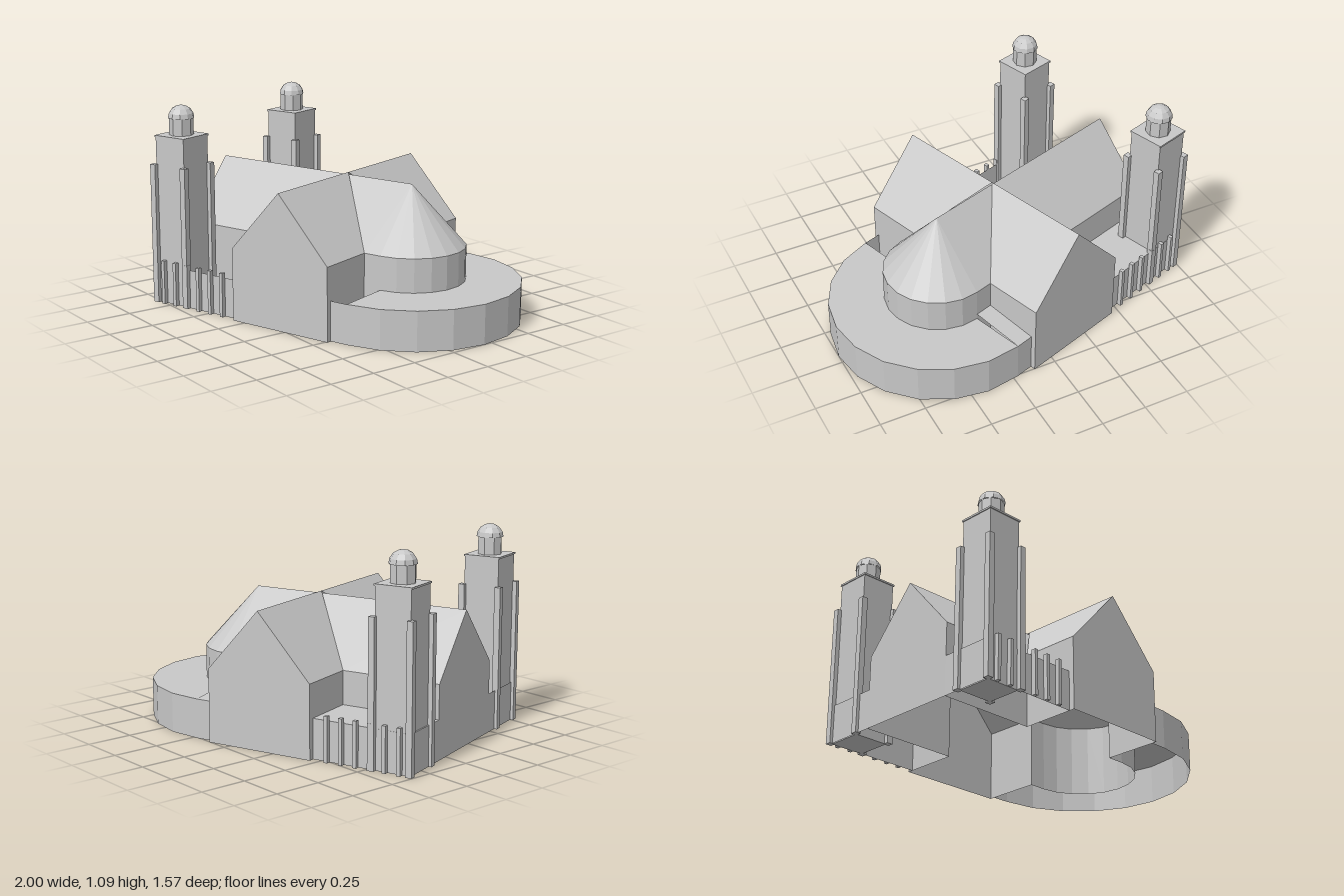
import * as THREE from 'three';

const stone = new THREE.MeshStandardMaterial({ color: 0xc8c8c8, side: THREE.DoubleSide, flatShading: true });
stone.name = 'pale stone';

// Plan measurements in the church's own frame: x runs along the nave, z across it
const WEST = -0.86, NAVE = 0.292, CROSS = 0.307, END = 0.618;
const EAVE = 0.395, RIDGE = 0.72, CROSS_RIDGE = 0.732;
const APSE_X = 0.406, RING = 0.59, RING_H = 0.213;
const AISLE = 0.588, AISLE_H = 0.213, SEG = 10;

function add(parent, name, geometry, x = 0, y = 0, z = 0) {
  const mesh = new THREE.Mesh(geometry, stone);
  mesh.name = name;
  mesh.position.set(x, y, z);
  parent.add(mesh);
  return mesh;
}

// Convex polygons, each turned to face away from the given inner point
function sheets(parent, name, polygons, inner) {
  const centre = new THREE.Vector3(...inner), pos = [];
  for (const polygon of polygons) {
    const p = polygon.map(c => new THREE.Vector3(...c));
    const normal = p[1].clone().sub(p[0]).cross(p[2].clone().sub(p[0]));
    if (normal.dot(p[0].clone().sub(centre)) < 0) p.reverse();
    for (let i = 1; i < p.length - 1; i++) {
      for (const v of [p[0], p[i], p[i + 1]]) pos.push(v.x, v.y, v.z);
    }
  }
  const g = new THREE.BufferGeometry();
  g.setAttribute('position', new THREE.Float32BufferAttribute(pos, 3));
  g.computeVertexNormals();
  return add(parent, name, g);
}

// Upright wall between two plan points
const wall = ([x0, z0], [x1, z1], h) => [[x0, 0, z0], [x1, 0, z1], [x1, h, z1], [x0, h, z0]];

// Half-round plan, from the -z side round to the +z side
function arc(radius) {
  return Array.from({ length: SEG + 1 }, (_, i) => {
    const t = -Math.PI / 2 + Math.PI * i / SEG;
    return [APSE_X + radius * Math.cos(t), radius * Math.sin(t)];
  });
}

function tower(parent, name, z) {
  const g = new THREE.Group();
  g.name = name;
  g.position.set(-0.755, 0, z);
  parent.add(g);
  add(g, 'towerShaft', new THREE.BoxGeometry(0.196, 0.92, 0.196), 0, 0.46, 0);
  add(g, 'towerCap', new THREE.BoxGeometry(0.206, 0.01, 0.206), 0, 0.925, 0);
  for (const sx of [-1, 1]) for (const sz of [-1, 1]) {
    add(g, 'cornerPier', new THREE.BoxGeometry(0.034, 0.772, 0.034), sx * 0.105, 0.386, sz * 0.105);
  }
  add(g, 'lantern', new THREE.CylinderGeometry(0.066, 0.066, 0.1, 8), 0, 0.975, 0);
  const dome = [[0.072, 0], [0.067, 0.025], [0.05, 0.05], [0.026, 0.064], [0, 0.07]];
  add(g, 'dome', new THREE.LatheGeometry(dome.map(p => new THREE.Vector2(...p)), 10), 0, 1.022, 0);
}

export function createModel() {
  const model = new THREE.Group();
  model.name = 'church';
  const church = new THREE.Group();
  church.name = 'building';
  church.rotation.y = 0.32;
  church.position.set(0.025, 0, -0.07);
  model.add(church);

  const gable = (name, pts, inner) => sheets(church, name, [pts], inner);
  const core = [0, 0.2, 0];

  // West front
  gable('westGable', [[WEST, 0, -NAVE], [WEST, 0, NAVE], [WEST, EAVE, NAVE], [WEST, RIDGE, 0], [WEST, EAVE, -NAVE]], core);

  for (const s of [-1, 1]) {
    // Nave side
    sheets(church, 'naveWall', [wall([WEST, s * NAVE], [-CROSS, s * NAVE], EAVE)], core);
    sheets(church, 'naveRoof', [[[WEST, EAVE, s * NAVE], [-CROSS, EAVE, s * NAVE], [0, RIDGE, 0], [WEST, RIDGE, 0]]], core);

    // Transept arm
    gable('transeptGable', [[-CROSS, 0, s * END], [CROSS, 0, s * END], [CROSS, EAVE, s * END],
      [0, CROSS_RIDGE, s * END], [-CROSS, EAVE, s * END]], core);
    for (const e of [-1, 1]) {
      sheets(church, 'transeptWall', [wall([e * CROSS, s * NAVE], [e * CROSS, s * END], EAVE)], core);
      sheets(church, 'transeptRoof', [[[e * CROSS, EAVE, s * NAVE], [e * CROSS, EAVE, s * END],
        [0, CROSS_RIDGE, s * END], [0, CROSS_RIDGE, 0]]], core);
    }

    // Straight bay before the apse
    sheets(church, 'choirWall', [wall([CROSS, s * NAVE], [APSE_X, s * NAVE], EAVE)], core);
    sheets(church, 'choirRoof', [[[CROSS, EAVE, s * NAVE], [APSE_X, EAVE, s * NAVE], [APSE_X, RIDGE, 0], [0, RIDGE, 0]]], core);
    sheets(church, 'ambulatoryEndWall', [wall([CROSS, s * RING], [APSE_X, s * RING], RING_H)], core);

    // Low aisle wall with its row of posts
    sheets(church, 'aisleWall', [
      wall([WEST, s * AISLE], [-CROSS, s * AISLE], AISLE_H),
      wall([WEST, s * NAVE], [WEST, s * AISLE], AISLE_H),
    ], core);
    for (let i = 0; i < 6; i++) {
      add(church, 'aislePost', new THREE.BoxGeometry(0.02, 0.242, 0.024), -0.395 - i * 0.082, 0.121, s * 0.6);
    }
    tower(church, s > 0 ? 'frontTower' : 'backTower', s * 0.488);
  }

  // Flat roof over the back aisle only
  sheets(church, 'aisleRoof', [[[WEST, AISLE_H, -NAVE], [-CROSS, AISLE_H, -NAVE],
    [-CROSS, AISLE_H, -AISLE], [WEST, AISLE_H, -AISLE]]], [0, 0, 0]);

  // Apse, its half-cone roof and the low ring around it
  const a = arc(NAVE), r = arc(RING);
  const apseWall = [], apseRoof = [], ringWall = [], ringRoof = [];
  for (let i = 0; i < SEG; i++) {
    const [p, q] = [a[i], a[i + 1]], [m, n] = [r[i], r[i + 1]];
    apseWall.push(wall(p, q, EAVE));
    apseRoof.push([[p[0], EAVE, p[1]], [q[0], EAVE, q[1]], [APSE_X, RIDGE, 0]]);
    ringWall.push(wall(m, n, RING_H));
    ringRoof.push([[p[0], RING_H, p[1]], [m[0], RING_H, m[1]], [n[0], RING_H, n[1]], [q[0], RING_H, q[1]]]);
  }
  const apseCore = [APSE_X - 0.01, 0.1, 0];
  sheets(church, 'apseWall', apseWall, apseCore);
  sheets(church, 'apseRoof', apseRoof, apseCore);
  sheets(church, 'ambulatoryWall', ringWall, apseCore);
  sheets(church, 'ambulatoryRoof', ringRoof, apseCore);

  // Slightly raised link from the ring roof to the back transept
  sheets(church, 'ambulatoryLinkRoof', [[[CROSS, 0.243, -NAVE], [APSE_X, 0.243, -NAVE],
    [APSE_X, RING_H, -RING], [CROSS, RING_H, -RING]]], [APSE_X, 0, -0.4]);

  return model;
}
